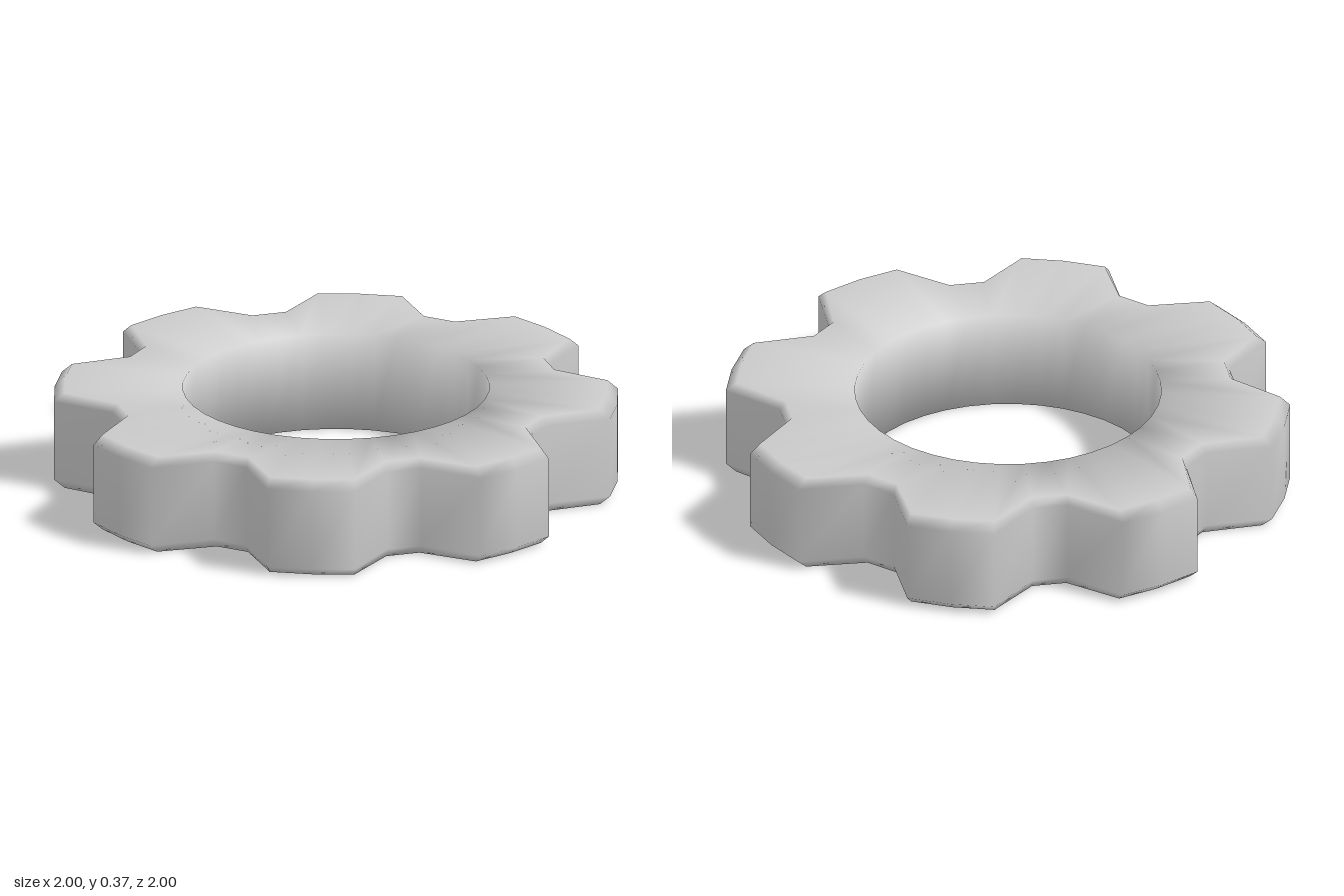
import * as THREE from 'three';

const SEGMENTS = 40;      // five steps per tooth, eight teeth
const HEIGHT = 0.365;
const HOLE = 0.555, VALLEY = 0.83, TIP = 1.0225;
const BEVEL = 0.033;

// Closed ring cross-section at one step, going up the outside
function section(i) {
  const isValley = i % 5 === 0 || i % 5 === 4;
  const r = isValley ? VALLEY : TIP;
  const inset = isValley ? 0.02 : 0.038;
  return [
    [HOLE, 0],
    [r - inset, 0],
    [r, BEVEL],
    [r, HEIGHT - BEVEL],
    [r - inset, HEIGHT],
    [HOLE, HEIGHT],
  ];
}

function gearGeometry() {
  const positions = [], index = [], n = 6;
  for (let i = 0; i < SEGMENTS; i++) {
    const a = THREE.MathUtils.degToRad(6 + i * 360 / SEGMENTS);
    for (const [r, y] of section(i)) positions.push(r * Math.cos(a), y, -r * Math.sin(a));
    // Join this section to the next, wrapping both ways
    const next = (i + 1) % SEGMENTS;
    for (let j = 0; j < n; j++) {
      const k = (j + 1) % n;
      const a0 = i * n + j, b0 = next * n + j, a1 = i * n + k, b1 = next * n + k;
      index.push(a0, b0, b1, a0, b1, a1);
    }
  }
  const geometry = new THREE.BufferGeometry();
  geometry.setAttribute('position', new THREE.Float32BufferAttribute(positions, 3));
  geometry.setIndex(index);
  geometry.computeVertexNormals(); // shared vertices keep the shading soft
  return geometry;
}

export function createModel() {
  const group = new THREE.Group();
  group.name = 'gear';
  const ring = new THREE.Mesh(gearGeometry(), new THREE.MeshStandardMaterial({ color: 0xcccccc }));
  ring.name = 'toothedRing';
  group.add(ring);
  return group;
}
